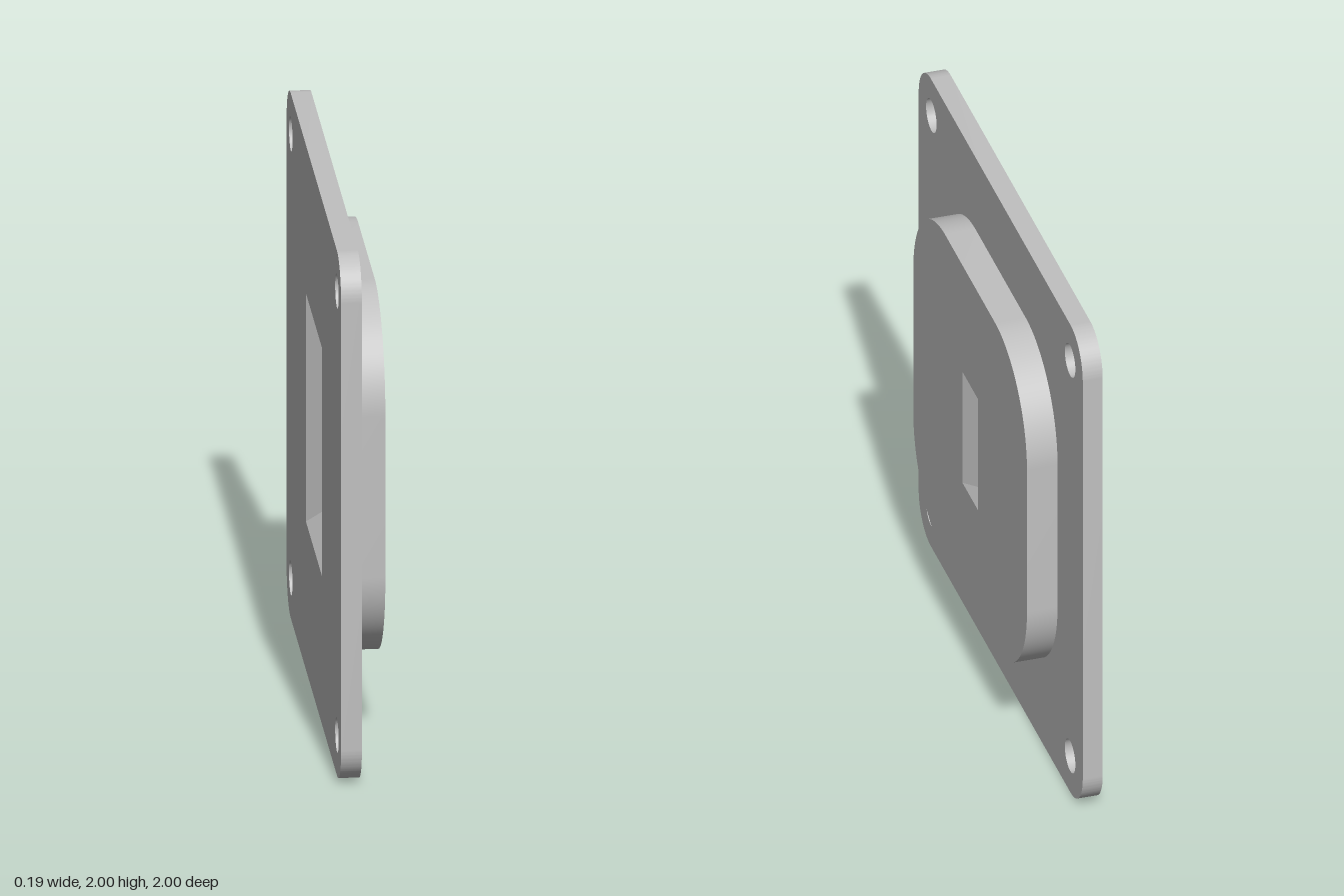
import * as THREE from 'three';
import { toCreasedNormals } from 'three/addons/utils/BufferGeometryUtils.js';

const BACK = -0.095, STEP = -0.02, FRONT = 0.095;
const RIM = { z: 0.29, y: 0.435 };        // wide mouth of the opening at the back
const THROAT = { z: 0.0935, y: 0.2375 };  // narrow mouth at the front

// Square with rounded corners, half-size h and corner radius r
function roundedSquare(h, r) {
  const s = new THREE.Shape();
  s.absarc(h - r, h - r, r, 0, Math.PI / 2);
  s.absarc(r - h, h - r, r, Math.PI / 2, Math.PI);
  s.absarc(r - h, r - h, r, Math.PI, Math.PI * 1.5);
  s.absarc(h - r, r - h, r, Math.PI * 1.5, Math.PI * 2);
  s.closePath();
  return s;
}

// Extrude a slab from x0 to x1 with the tapered opening through it
function slab(name, shape, x0, x1, material) {
  const { z, y } = RIM;
  shape.holes.push(new THREE.Path([[-z, -y], [-z, y], [z, y], [z, -y]]
    .map(([a, b]) => new THREE.Vector2(a, b))));
  let geo = new THREE.ExtrudeGeometry(shape, { depth: x1 - x0, bevelEnabled: false, curveSegments: 20 });
  geo.rotateY(Math.PI / 2);
  geo.translate(x0, 0, 0);
  // Narrow the opening linearly from rim to throat
  const p = geo.attributes.position;
  for (let i = 0; i < p.count; i++) {
    if (Math.abs(p.getZ(i)) > z + 0.001 || Math.abs(p.getY(i)) > y + 0.001) continue;
    // Only the opening's four corners qualify
    if (Math.abs(Math.abs(p.getZ(i)) - z) > 0.001 || Math.abs(Math.abs(p.getY(i)) - y) > 0.001) continue;
    const t = (p.getX(i) - BACK) / (FRONT - BACK);
    p.setZ(i, Math.sign(p.getZ(i)) * THREE.MathUtils.lerp(z, THROAT.z, t));
    p.setY(i, Math.sign(p.getY(i)) * THREE.MathUtils.lerp(y, THROAT.y, t));
  }
  geo.translate(0, 1, 0);
  geo = toCreasedNormals(geo, 0.5);
  const mesh = new THREE.Mesh(geo, material);
  mesh.name = name;
  return mesh;
}

export function createModel() {
  const group = new THREE.Group();
  group.name = 'flangePlate';
  const grey = new THREE.MeshStandardMaterial({ color: 0xc0c0c0 });
  grey.name = 'lightGrey';

  // Mounting plate with a bolt hole in each corner
  const plate = roundedSquare(1, 0.15);
  for (const a of [-1, 1]) for (const b of [-1, 1]) {
    const hole = new THREE.Path();
    hole.absarc(a * 0.846, b * 0.846, 0.064, 0, Math.PI * 2, true);
    plate.holes.push(hole);
  }
  group.add(slab('mountingPlate', plate, BACK, STEP, grey));

  // Raised boss around the opening
  group.add(slab('raisedBoss', roundedSquare(0.693, 0.39), STEP, FRONT, grey));
  return group;
}
